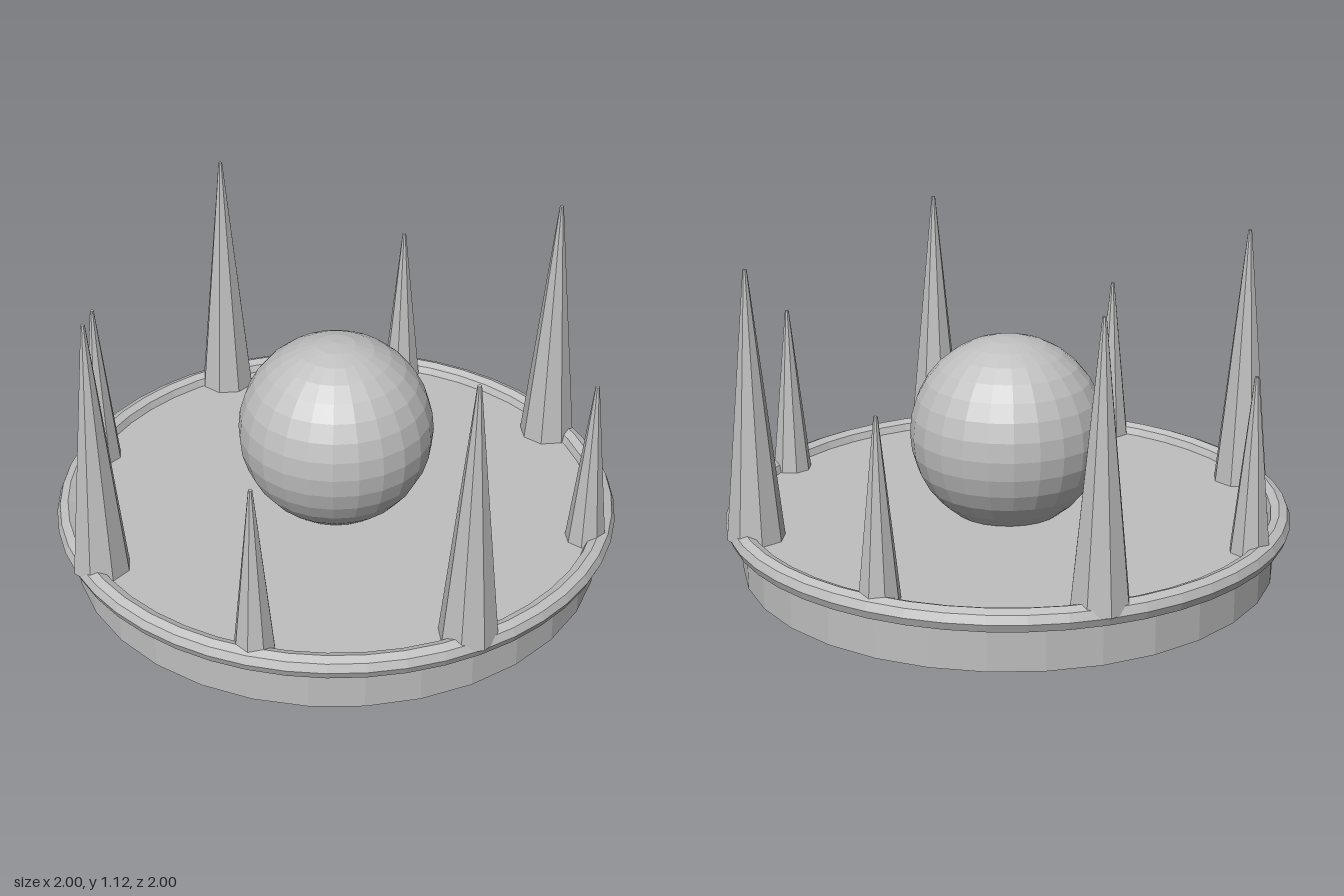
import * as THREE from 'three';

const BASE_TOP = 0.187;

export function createModel() {
  const model = new THREE.Group();
  model.name = 'spikedDisc';
  const stone = new THREE.MeshStandardMaterial({ color: 0xbfbfbf, flatShading: true });
  stone.name = 'pale grey';

  const add = (name, geometry, x, y, z) => {
    const mesh = new THREE.Mesh(geometry, stone);
    mesh.name = name;
    mesh.position.set(x, y, z);
    model.add(mesh);
    return mesh;
  };

  // Round base and its raised rim
  add('base', new THREE.CylinderGeometry(0.935, 0.935, BASE_TOP, 32), 0, BASE_TOP / 2, 0);
  add('rim', new THREE.TorusGeometry(0.95, 0.04, 8, 48).rotateX(Math.PI / 2), 0, 0.184, 0);

  // Ball sunk slightly into the base
  add('ball', new THREE.SphereGeometry(0.342, 24, 16), 0, 0.47, 0);

  // Eight spikes, alternating tall and short
  for (let i = 0; i < 8; i++) {
    const tall = i % 2 === 0;
    const height = (tall ? 1.12 : 0.793) - BASE_TOP;
    const angle = (i * Math.PI) / 4;
    const spike = new THREE.CylinderGeometry(0.007, tall ? 0.1 : 0.07, height, 8);
    add(tall ? 'tallSpike' : 'shortSpike', spike,
      Math.sin(angle) * 0.9, BASE_TOP + height / 2, Math.cos(angle) * 0.9);
  }
  return model;
}
